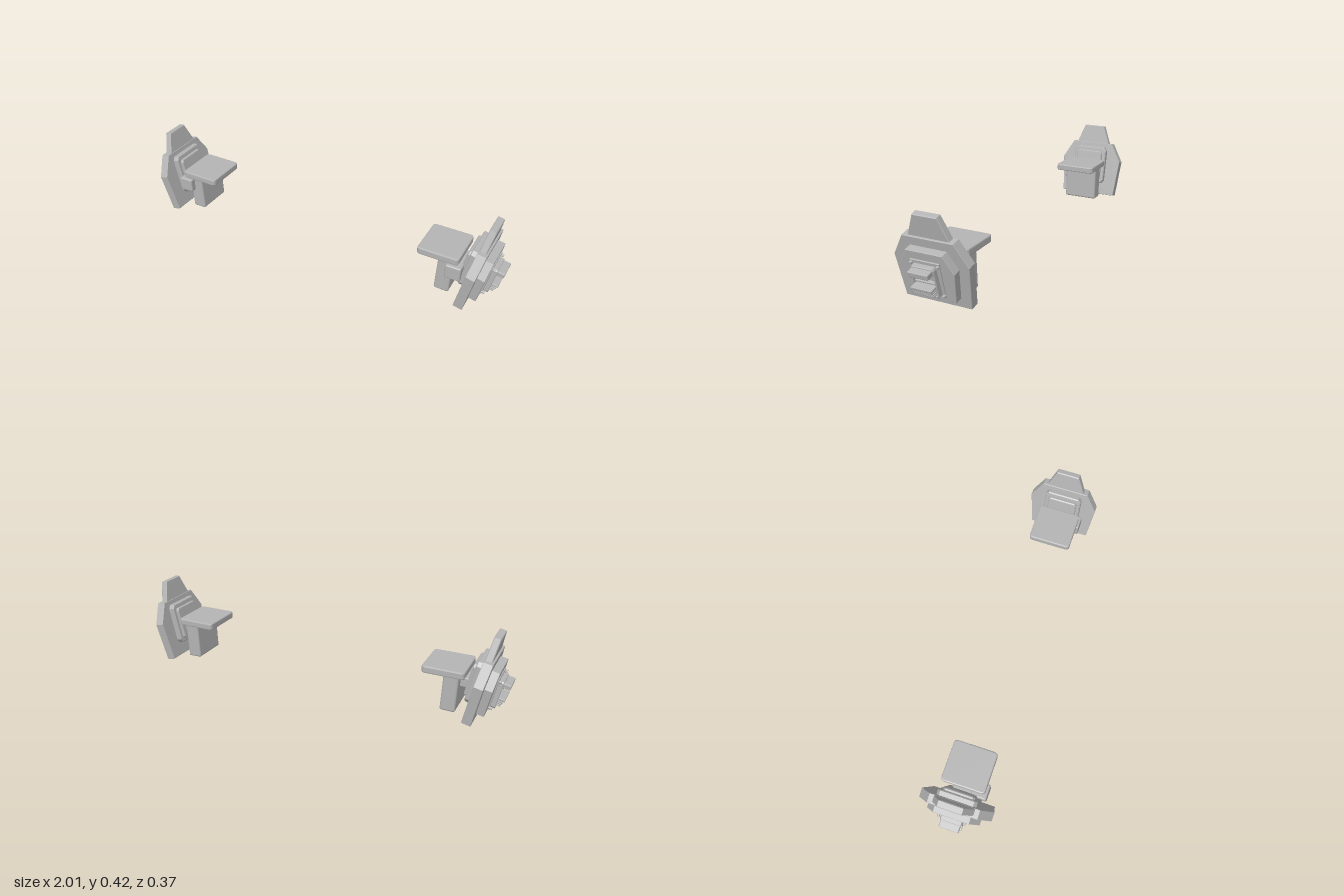
import * as THREE from 'three';
import { RoundedBoxGeometry } from 'three/addons/geometries/RoundedBoxGeometry.js';

const grey = new THREE.MeshStandardMaterial({ color: 0xb4b4b4 });
grey.name = 'armour grey';

function add(parent, name, geometry, x = 0, y = 0, z = 0) {
  const mesh = new THREE.Mesh(geometry, grey);
  mesh.name = name;
  mesh.position.set(x, y, z);
  parent.add(mesh);
  return mesh;
}

// Rounded block given by its limits on each axis
function block(parent, name, [x0, x1], [y0, y1], [z0, z1], r = 0.004) {
  const g = new RoundedBoxGeometry(x1 - x0, y1 - y0, z1 - z0, 2, r);
  return add(parent, name, g, (x0 + x1) / 2, (y0 + y1) / 2, (z0 + z1) / 2);
}

// Symmetric outline from half-widths [z, y], listed bottom to top
function outline(half, Type = THREE.Shape) {
  const right = half.map(([z, y]) => new THREE.Vector2(z, y));
  const left = half.map(([z, y]) => new THREE.Vector2(-z, y)).reverse();
  return new Type([...right, ...left]);
}

// Plate lying in the z-y plane, thick along x from n0 to n1
function plate(parent, name, half, n0, n1, bevel = 0.003, hole = null) {
  const shape = outline(half);
  if (hole) shape.holes.push(outline(hole, THREE.Path));
  const g = new THREE.ExtrudeGeometry(shape, {
    depth: n1 - n0 - 2 * bevel, bevelEnabled: true, bevelSegments: 1,
    bevelSize: bevel, bevelThickness: bevel, bevelOffset: -bevel,
  });
  g.translate(0, 0, n0 + bevel);
  g.rotateY(Math.PI / 2);
  return add(parent, name, g);
}

function createShield() {
  const shield = new THREE.Group();
  shield.name = 'shield';
  shield.position.set(0.815, 0.01, 0);
  shield.rotation.z = -0.215;

  // Stacked armour plates and upright blade
  plate(shield, 'mainPlate', [[0.165, 0], [0.185, 0.21], [0.125, 0.315]], 0, 0.047, 0.002);
  plate(shield, 'outerPlate', [[0.12, 0.049], [0.135, 0.193], [0.09, 0.274]], 0.04, 0.085, 0.002);
  plate(shield, 'blade', [[0.108, 0.29], [0.103, 0.312], [0.06, 0.42]], 0.002, 0.037, 0.004);

  // Inner backing panels
  plate(shield, 'innerPanel', [[0.085, 0.07], [0.1, 0.09], [0.1, 0.27], [0.085, 0.29]], -0.028, 0.005, 0.005);
  plate(shield, 'innerPad', [[0.07, 0.09], [0.08, 0.1], [0.08, 0.25], [0.07, 0.265]], -0.042, -0.02, 0.005);

  // Vent housing with a raised rim
  plate(shield, 'ventBase', [[0.076, 0.068], [0.072, 0.236]], 0.08, 0.091, 0.002);
  plate(shield, 'ventRim',
    [[0.056, 0.078], [0.062, 0.086], [0.056, 0.213], [0.05, 0.221]], 0.085, 0.115, 0.003,
    [[0.05, 0.09], [0.053, 0.095], [0.049, 0.205], [0.046, 0.21]]);
  block(shield, 'ventCrossbar', [0.085, 0.108], [0.139, 0.147], [-0.055, 0.055], 0.002);

  // Upper hood and lower slats
  block(shield, 'upperHood', [0.085, 0.15], [0.19, 0.215], [-0.05, 0.05], 0.004);
  block(shield, 'lowerHood', [0.085, 0.146], [0.124, 0.136], [-0.052, 0.052], 0.003);
  for (let i = 0; i < 3; i++) {
    const y = 0.094 + i * 0.01;
    block(shield, 'slat', [0.085, 0.132 + i * 0.004], [y, y + 0.007], [-0.05, 0.05], 0.002);
  }

  // Corner bolts
  for (const side of [-1, 1]) {
    for (const [z, y] of [[0.071, 0.08], [0.065, 0.222]]) {
      const bolt = add(shield, 'bolt', new THREE.CylinderGeometry(0.006, 0.008, 0.016, 12), 0.096, y, side * z);
      bolt.rotation.z = -Math.PI / 2;
    }
  }
  return shield;
}

function createShoulder(name) {
  const shoulder = new THREE.Group();
  shoulder.name = name;
  shoulder.add(createShield());

  // Flat top pad
  const pad = new THREE.Shape();
  const [w, d, r] = [0.099, 0.107, 0.014];
  pad.moveTo(-w + r, -d);
  pad.lineTo(w - r, -d).quadraticCurveTo(w, -d, w, -d + r);
  pad.lineTo(w, d - r).quadraticCurveTo(w, d, w - r, d);
  pad.lineTo(-w + r, d).quadraticCurveTo(-w, d, -w, d - r);
  pad.lineTo(-w, -d + r).quadraticCurveTo(-w, -d, -w + r, -d);
  const padGeometry = new THREE.ExtrudeGeometry(pad, {
    depth: 0.024, bevelSize: 0.006, bevelThickness: 0.006, bevelSegments: 2, curveSegments: 4,
  });
  padGeometry.rotateX(-Math.PI / 2);
  add(shoulder, 'topPad', padGeometry, 0.695, 0.206, 0);

  // Hanging block, leaning slightly inward toward its foot
  const hanger = block(shoulder, 'hangingBlock', [0.692, 0.768], [0.014, 0.215], [-0.095, 0.095], 0.01);
  hanger.rotation.z = -0.04;

  // Joint between the hanging block and the shield
  block(shoulder, 'frontJoint', [0.742, 0.82], [0.122, 0.197], [0.045, 0.125], 0.008);
  block(shoulder, 'jointBar', [0.74, 0.85], [0.135, 0.185], [-0.05, 0.06], 0.006);
  return shoulder;
}

export function createModel() {
  const model = new THREE.Group();
  model.name = 'shoulderArmour';
  const left = createShoulder('leftShoulder');
  const right = createShoulder('rightShoulder');
  right.scale.x = -1;
  model.add(left, right);
  return model;
}
